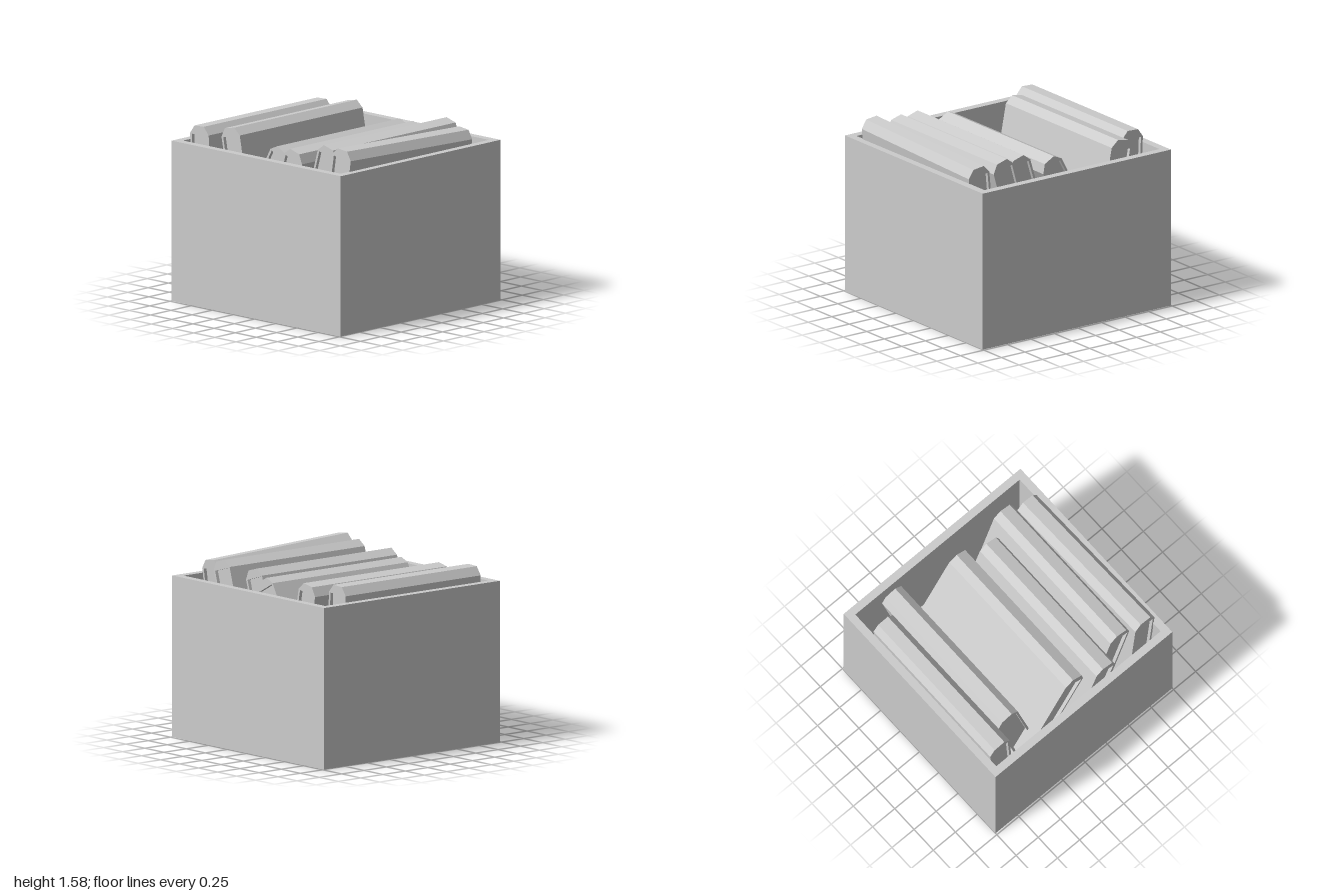
import * as THREE from 'three';

const material = new THREE.MeshStandardMaterial({ color: 0xcccccc, flatShading: true });

function part(name, geometry, x = 0, y = 0, z = 0) {
  const mesh = new THREE.Mesh(geometry, material);
  mesh.name = name;
  mesh.position.set(x, y, z);
  return mesh;
}

// Closed outline in the xy plane, extruded symmetrically along z
function extrude(points, depth) {
  const shape = new THREE.Shape(points.map(([x, y]) => new THREE.Vector2(x, y)));
  return new THREE.ExtrudeGeometry(shape, { depth, bevelEnabled: false }).translate(0, 0, -depth / 2);
}

// Open square crate: a wall ring around an inset floor
function createCrate() {
  const crate = new THREE.Group();
  crate.name = 'crate';
  const height = 1.4, floor = 0.25, halfX = 1, halfZ = 0.983, wall = 0.07;
  const rect = (PathType, x, z) => new PathType([[-x, -z], [x, -z], [x, z], [-x, z]].map(p => new THREE.Vector2(...p)));
  const ring = rect(THREE.Shape, halfX, halfZ);
  ring.holes.push(rect(THREE.Path, halfX - wall, halfZ - wall));
  const walls = new THREE.ExtrudeGeometry(ring, { depth: height, bevelEnabled: false }).rotateX(-Math.PI / 2);
  crate.add(part('crateWalls', walls));
  crate.add(part('crateFloor', new THREE.BoxGeometry(2 * (halfX - wall), floor, 2 * (halfZ - wall)), 0, floor / 2, 0));
  return crate;
}

// Book standing spine up; its origin lies midway between the spine shoulders
function createBook() {
  const book = new THREE.Group();
  book.name = 'book';
  const w = 0.11, drop = 1.15, board = 0.02, length = 1.51, inset = 0.03;
  const cover = [
    [-w, 0], [-w, -drop], [-w + board, -drop], [-w + board, -0.005],
    [w - board, -0.005], [w - board, -drop], [w, -drop], [w, 0],
    [w / 2, 0.07], [-w / 2, 0.07],
  ];
  book.add(part('bookCover', extrude(cover, length)));
  const pageHeight = drop - inset;
  book.add(part('bookPages', new THREE.BoxGeometry(2 * (w - board), pageHeight, length - 2 * inset), 0, -pageHeight / 2, 0));
  return book;
}

export function createModel() {
  const model = new THREE.Group();
  model.name = 'crateOfBooks';
  model.add(createCrate());

  // Spine position, sideways lean in degrees, then pitch and yaw
  const books = [
    [-0.817, 1.46, 0.075, 2.7],
    [-0.592, 1.455, -0.075, 11],
    [0.071, 1.395, 0.025, -28.5],
    [0.338, 1.432, 0.125, -16.9],
    [0.611, 1.486, -0.005, -16],
    [0.835, 1.481, 0.055, -7, -0.036, 0.01],
  ];
  for (const [x, y, z, lean, pitch = 0, yaw = 0] of books) {
    const book = createBook();
    book.position.set(x, y, z);
    book.rotation.set(pitch, yaw, THREE.MathUtils.degToRad(lean));
    model.add(book);
  }
  return model;
}
